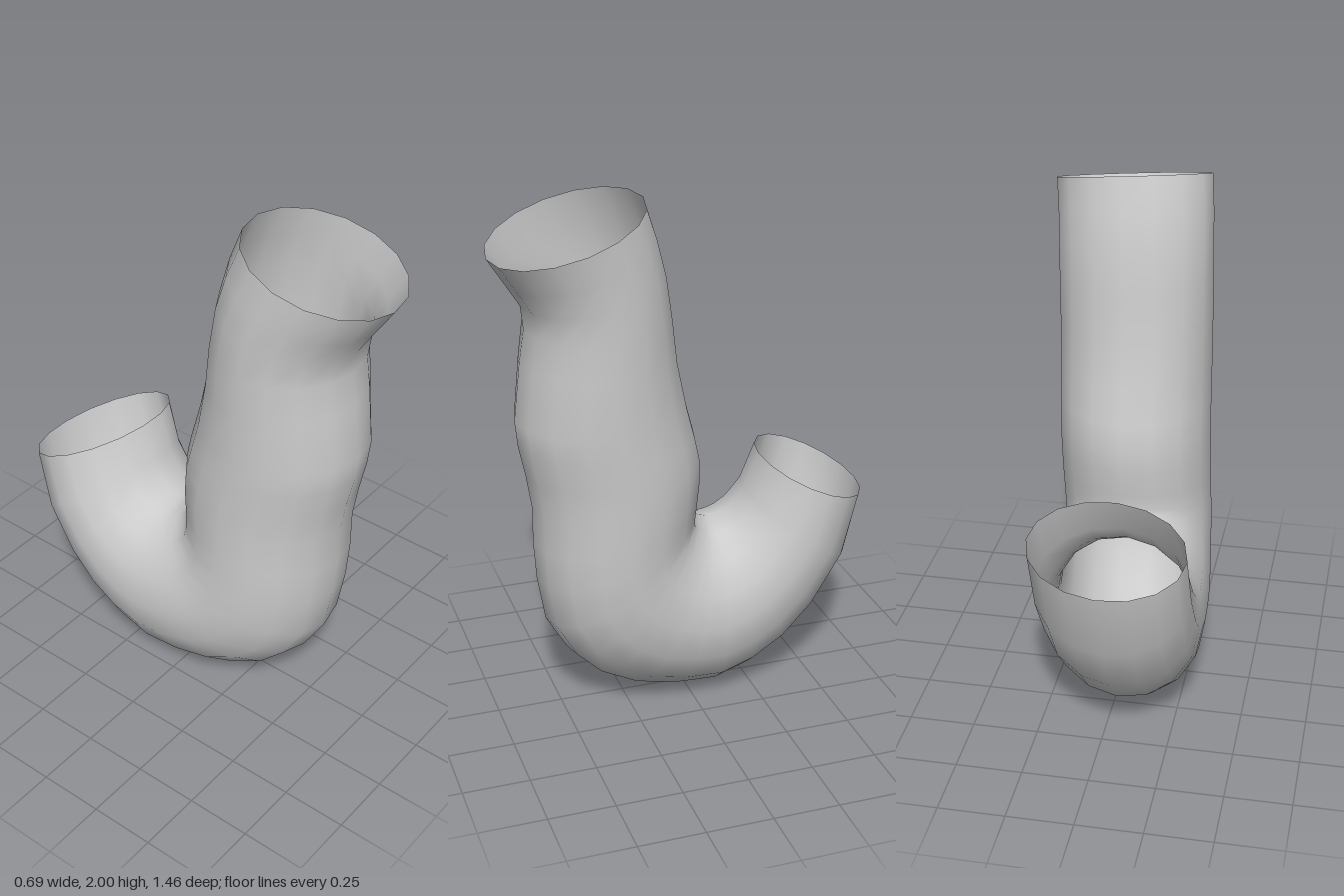
import * as THREE from 'three';

const SIDES = 16;
const HALF_WIDTH = 0.297;

// Rings along the bent pipe: outer z, outer y, inner z, inner y, centre x
const RINGS = [
  // tall front leg, from its open mouth down
  [0.73, 1.83, 0.16, 2.0, 0.05],
  [0.66, 1.72, 0.12, 1.88, 0.035],
  [0.61, 1.64, 0.085, 1.74, 0.027],
  [0.6, 1.55, 0.06, 1.57, 0.022],
  [0.62, 1.42, 0.04, 1.4, 0.02],
  [0.645, 1.2, 0, 1.22, 0.018],
  [0.635, 1.1, -0.035, 1.09, 0.015],
  [0.61, 0.98, -0.055, 1.0, 0.012],
  [0.59, 0.85, -0.055, 0.9, 0.008],
  [0.59, 0.7, -0.045, 0.8, 0.005],
  // tight U-bend, pinched on the inside
  [0.58, 0.55, -0.04, 0.75, 0],
  [0.55, 0.37, -0.045, 0.73, -0.005],
  [0.47, 0.23, -0.06, 0.715, -0.012],
  [0.37, 0.13, -0.075, 0.705, -0.02],
  [0.22, 0.05, -0.09, 0.697, -0.03],
  [0.05, 0.01, -0.105, 0.69, -0.036],
  [-0.12, 0, -0.125, 0.69, -0.04],
  [-0.27, 0.05, -0.145, 0.692, -0.042],
  [-0.41, 0.14, -0.17, 0.7, -0.042],
  // short rear leg up to its open mouth
  [-0.54, 0.28, -0.21, 0.725, -0.04],
  [-0.67, 0.5, -0.265, 0.79, -0.035],
  [-0.73, 0.77, -0.32, 0.93, -0.025],
];

// Skin elliptical cross-sections into one smooth open tube
function loftPipe(rings) {
  const positions = [], index = [];
  rings.forEach(([zo, yo, zi, yi, cx], i) => {
    const tiltY = -0.025 * Math.max(0, 1 - i / 4);
    const tiltZ = 0.025 * i / (rings.length - 1);
    for (let j = 0; j < SIDES; j++) {
      const a = j / SIDES * Math.PI * 2, c = Math.cos(a) / 2, s = Math.sin(a);
      positions.push(
        cx + s * HALF_WIDTH,
        (yo + yi) / 2 + c * (yo - yi) + s * tiltY,
        (zo + zi) / 2 + c * (zo - zi) + s * tiltZ
      );
      if (i < rings.length - 1) {
        const k = (j + 1) % SIDES, r = i * SIDES, n = r + SIDES;
        index.push(r + j, n + j, r + k, r + k, n + j, n + k);
      }
    }
  });
  const geometry = new THREE.BufferGeometry();
  geometry.setAttribute('position', new THREE.Float32BufferAttribute(positions, 3));
  geometry.setIndex(index);
  geometry.computeVertexNormals();
  return geometry;
}

export function createModel() {
  const group = new THREE.Group();
  group.name = 'bentPipe';
  const material = new THREE.MeshStandardMaterial({ color: 0xcccccc, side: THREE.DoubleSide });
  const pipe = new THREE.Mesh(loftPipe(RINGS), material);
  pipe.name = 'pipeWall';
  group.add(pipe);
  return group;
}
